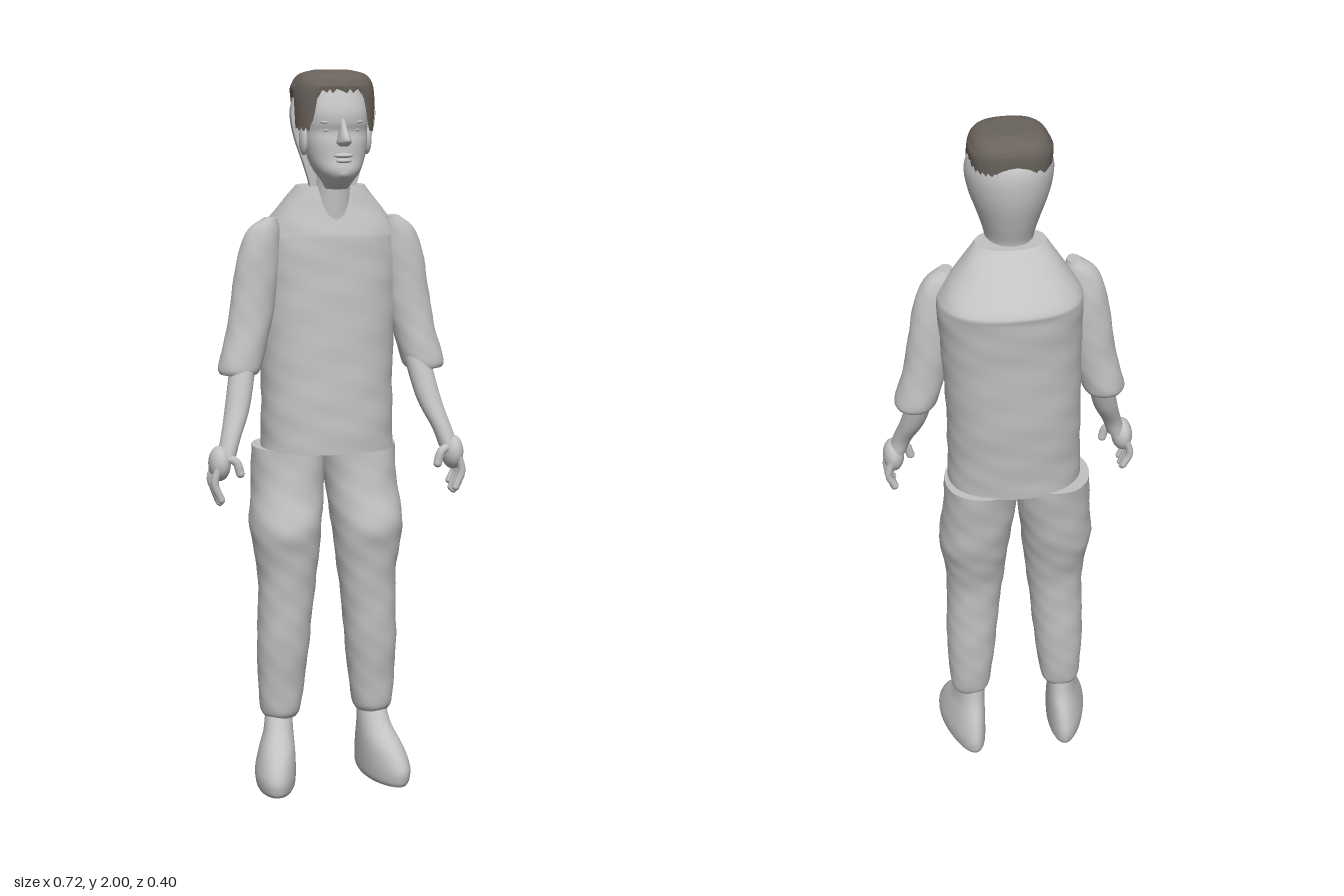
import * as THREE from 'three';

const cloth = new THREE.MeshStandardMaterial({ color: 0xc2c2c2, side: THREE.DoubleSide });
cloth.name = 'light grey';
const hairMat = new THREE.MeshStandardMaterial({ color: 0x6a635d, side: THREE.DoubleSide });
hairMat.name = 'dark brown';

// Smooth skin over horizontal rings [y, centreX, radiusX, centreZ, radiusZ], listed from top to bottom.
function loft(name, rings, { n = 2, segs = 40, steps = 5, bump = 0, side = 1, dx = 0, cap = true, warp, mat = cloth } = {}) {
  const a = new THREE.CatmullRomCurve3(rings.map(r => new THREE.Vector3(r[0], r[1], r[2])), false, 'catmullrom');
  const b = new THREE.CatmullRomCurve3(rings.map(r => new THREE.Vector3(r[3], r[4], 0)), false, 'catmullrom');
  const rows = (rings.length - 1) * steps;
  const pos = [], idx = [];
  for (let i = 0; i <= rows; i++) {
    const p = a.getPoint(i / rows), q = b.getPoint(i / rows);
    for (let j = 0; j < segs; j++) {
      const t = (j / segs) * Math.PI * 2, c = Math.cos(t), s = Math.sin(t);
      const k = 1 + bump * (Math.sin(47 * p.x + 3 * t) + 0.7 * Math.sin(83 * p.x - 5 * t));
      const v = new THREE.Vector3(
        side * p.y + dx + p.z * k * Math.sign(c) * Math.abs(c) ** (2 / n), p.x,
        q.x + q.y * k * Math.sign(s) * Math.abs(s) ** (2 / n));
      if (warp) warp(v);
      pos.push(v.x, v.y, v.z);
      if (i < rows) {
        const u = i * segs + j, w = i * segs + (j + 1) % segs;
        idx.push(u, w, u + segs, w, w + segs, u + segs);
      }
    }
  }
  // flat end caps with their own vertices, so the rims stay sharp
  for (const row of cap ? [0, rows] : [0]) {
    const base = pos.length / 3, from = row * segs * 3;
    const rim = pos.slice(from, from + segs * 3);
    pos.push(...rim);
    const mid = [0, 0, 0];
    rim.forEach((v, i) => { mid[i % 3] += v / segs; });
    pos.push(...mid);
    for (let j = 0; j < segs; j++) {
      const u = base + j, w = base + (j + 1) % segs;
      if (row === 0) idx.push(base + segs, w, u); else idx.push(base + segs, u, w);
    }
  }
  const g = new THREE.BufferGeometry();
  g.setAttribute('position', new THREE.Float32BufferAttribute(pos, 3));
  g.setIndex(idx);
  g.computeVertexNormals();
  const m = new THREE.Mesh(g, mat);
  m.name = name;
  return m;
}

function blob(name, x, y, z, rx, ry, rz) {
  const m = new THREE.Mesh(new THREE.SphereGeometry(1, 20, 14), cloth);
  m.position.set(x, y, z);
  m.scale.set(rx, ry, rz);
  m.name = name;
  return m;
}

function finger(name, points, r) {
  const g = new THREE.Group();
  const curve = new THREE.CatmullRomCurve3(points.map(p => new THREE.Vector3(...p)));
  g.add(new THREE.Mesh(new THREE.TubeGeometry(curve, 8, r, 10), cloth));
  g.add(blob('fingertip', ...points[points.length - 1], r, r, r));
  g.name = name;
  return g;
}

function makeHead() {
  const head = new THREE.Group();
  head.name = 'head';
  const cx = 0.012;
  head.add(loft('neck', [
    [1.76, cx, 0.052, 0.03, 0.06], [1.7, cx, 0.05, 0.028, 0.06], [1.6, cx, 0.058, 0.02, 0.065]]));
  // face mask
  head.add(loft('face', [
    [1.955, cx, 0.07, 0.062, 0.06], [1.9, cx, 0.084, 0.07, 0.076], [1.865, cx, 0.086, 0.07, 0.079],
    [1.84, cx, 0.085, 0.068, 0.075], [1.81, cx, 0.084, 0.068, 0.082], [1.77, cx, 0.077, 0.07, 0.084],
    [1.735, cx, 0.062, 0.08, 0.082], [1.71, cx, 0.044, 0.085, 0.062], [1.685, cx, 0.03, 0.075, 0.035]], { n: 2.15 }));
  head.add(loft('nose', [
    [1.875, cx, 0.007, 0.14, 0.01], [1.85, cx, 0.01, 0.148, 0.02],
    [1.825, cx, 0.016, 0.152, 0.044], [1.812, cx, 0.019, 0.15, 0.042], [1.803, cx, 0.012, 0.15, 0.02]], { segs: 20 }));
  head.add(blob('upperLip', cx, 1.778, 0.15, 0.027, 0.007, 0.015));
  head.add(blob('lowerLip', cx, 1.764, 0.15, 0.022, 0.007, 0.014));
  head.add(blob('chin', cx, 1.732, 0.143, 0.026, 0.018, 0.02));
  for (const s of [1, -1]) {
    head.add(blob('eye', cx + s * 0.036, 1.845, 0.126, 0.016, 0.008, 0.012));
    head.add(blob('brow', cx + s * 0.038, 1.866, 0.13, 0.022, 0.006, 0.012));
    head.add(blob('ear', cx + s * 0.088, 1.815, 0.065, 0.012, 0.04, 0.025));
  }
  // back of the skull, cut straight just behind the ears
  head.add(loft('skull', [
    [1.945, cx, 0.1, 0.045, 0.108], [1.92, cx, 0.112, 0.045, 0.124], [1.88, cx, 0.118, 0.045, 0.13],
    [1.82, cx, 0.107, 0.045, 0.124], [1.75, cx, 0.083, 0.045, 0.104], [1.7, cx, 0.068, 0.045, 0.087],
    [1.675, cx, 0.066, 0.045, 0.085]], { warp: v => { v.z = Math.min(v.z, 0.047); } }));
  // hair cap: short over the forehead and back, long at the temples
  head.add(loft('hair', [
    [2, cx, 0.05, 0.032, 0.055], [1.99, cx, 0.085, 0.031, 0.084], [1.97, cx, 0.103, 0.03, 0.1],
    [1.94, cx, 0.11, 0.03, 0.103], [1.9, cx, 0.111, 0.03, 0.103], [1.84, cx, 0.108, 0.03, 0.102]], {
    n: 2.7, segs: 96, cap: false, mat: hairMat,
    warp: v => {
      if (v.y > 1.965) return;
      const back = THREE.MathUtils.smoothstep(v.z, 0.04, 0.055);
      const front = THREE.MathUtils.smoothstep(Math.abs(v.x - cx), 0.055, 0.085);
      let edge = 1.912 + 0.02 * THREE.MathUtils.smoothstep(v.z, -0.05, 0.04);
      if (v.z > 0.04) edge = THREE.MathUtils.lerp(edge, THREE.MathUtils.lerp(1.947, 1.845, front), back);
      edge += 0.006 * Math.sin(v.x * 330 + v.z * 210);
      v.y = 1.965 - ((1.965 - v.y) / 0.125) * (1.965 - edge);
    },
  }));
  return head;
}

function makeArm(side) {
  const arm = new THREE.Group();
  arm.name = side > 0 ? 'leftArm' : 'rightArm';
  arm.add(loft('sleeve', [
    [1.605, 0.172, 0.018, 0.025, 0.025], [1.57, 0.19, 0.045, 0.022, 0.038], [1.5, 0.204, 0.058, 0.02, 0.047],
    [1.4, 0.217, 0.062, 0.02, 0.05], [1.3, 0.235, 0.06, 0.025, 0.053], [1.21, 0.259, 0.06, 0.03, 0.06],
    [1.185, 0.264, 0.054, 0.032, 0.055], [1.18, 0.264, 0.045, 0.034, 0.045]], { side, dx: 0.012, bump: 0.012 }));
  arm.add(loft('forearm', [
    [1.22, 0.246, 0.036, 0.045, 0.036], [1.1, 0.272, 0.034, 0.085, 0.037],
    [1.02, 0.3, 0.027, 0.122, 0.031], [0.97, 0.316, 0.026, 0.135, 0.034]], { side, dx: 0.004 }));
  const hand = new THREE.Group();
  hand.name = 'hand';
  hand.add(blob('palm', side * 0.33, 0.955, 0.136, 0.03, 0.048, 0.044));
  for (let i = 0; i < 4; i++) {
    const z = 0.105 + i * 0.02, tip = [0.868, 0.852, 0.85, 0.86][i];
    hand.add(finger('finger', [[side * 0.338, 0.95, z], [side * 0.349, 0.905, z], [side * 0.332, tip, z]], 0.0105));
  }
  hand.add(finger('thumb', [[side * 0.32, 0.975, 0.15], [side * 0.29, 0.962, 0.163], [side * 0.279, 0.93, 0.165]], 0.012));
  arm.add(hand);
  return arm;
}

function makeLeg(side) {
  const leg = new THREE.Group();
  leg.name = side > 0 ? 'leftLeg' : 'rightLeg';
  leg.add(loft('trouserLeg', [
    [0.965, 0.101, 0.102, -0.035, 0.113], [0.85, 0.107, 0.101, -0.02, 0.11], [0.75, 0.118, 0.1, 0.002, 0.116],
    [0.68, 0.117, 0.092, 0.008, 0.102], [0.6, 0.116, 0.082, 0.012, 0.087], [0.5, 0.122, 0.076, 0.012, 0.08],
    [0.4, 0.128, 0.073, 0.01, 0.076], [0.3, 0.132, 0.066, 0.005, 0.066], [0.215, 0.135, 0.057, 0.005, 0.057],
    [0.19, 0.135, 0.046, 0.004, 0.046]], { side, dx: 0.003, n: 2.15, bump: 0.01 }));
  // shoe, toes turned slightly outward and heel narrowed
  leg.add(loft('shoe', [
    [0.205, 0.135, 0.043, 0, 0.043], [0.15, 0.138, 0.047, 0.014, 0.07], [0.1, 0.145, 0.056, 0.032, 0.113],
    [0.05, 0.151, 0.062, 0.04, 0.138], [0.015, 0.151, 0.06, 0.04, 0.138], [0, 0.151, 0.053, 0.04, 0.13]], {
    side, warp: v => {
      const mid = side * 0.146;
      v.x = mid + (v.x - mid) * (0.9 + 0.8 * Math.min(v.z, 0.1)) + side * 0.15 * v.z;
    },
  }));
  return leg;
}

export function createModel() {
  const model = new THREE.Group();
  model.name = 'standingFigure';
  // loose shirt with sloping shoulders and a square hem
  model.add(loft('shirt', [
    [1.69, 0.015, 0.095, 0, 0.061], [1.63, 0.019, 0.142, -0.027, 0.104], [1.57, 0.023, 0.185, -0.05, 0.146],
    [1.53, 0.024, 0.195, -0.048, 0.149], [1.4, 0.02, 0.19, -0.037, 0.147], [1.2, 0.012, 0.184, -0.026, 0.147],
    [1.05, 0.009, 0.184, -0.014, 0.143], [0.96, 0.008, 0.186, -0.01, 0.14]], { n: 2.25, segs: 56, steps: 8, bump: 0.005 }));
  model.add(makeHead());
  for (const side of [1, -1]) model.add(makeArm(side), makeLeg(side));
  return model;
}
